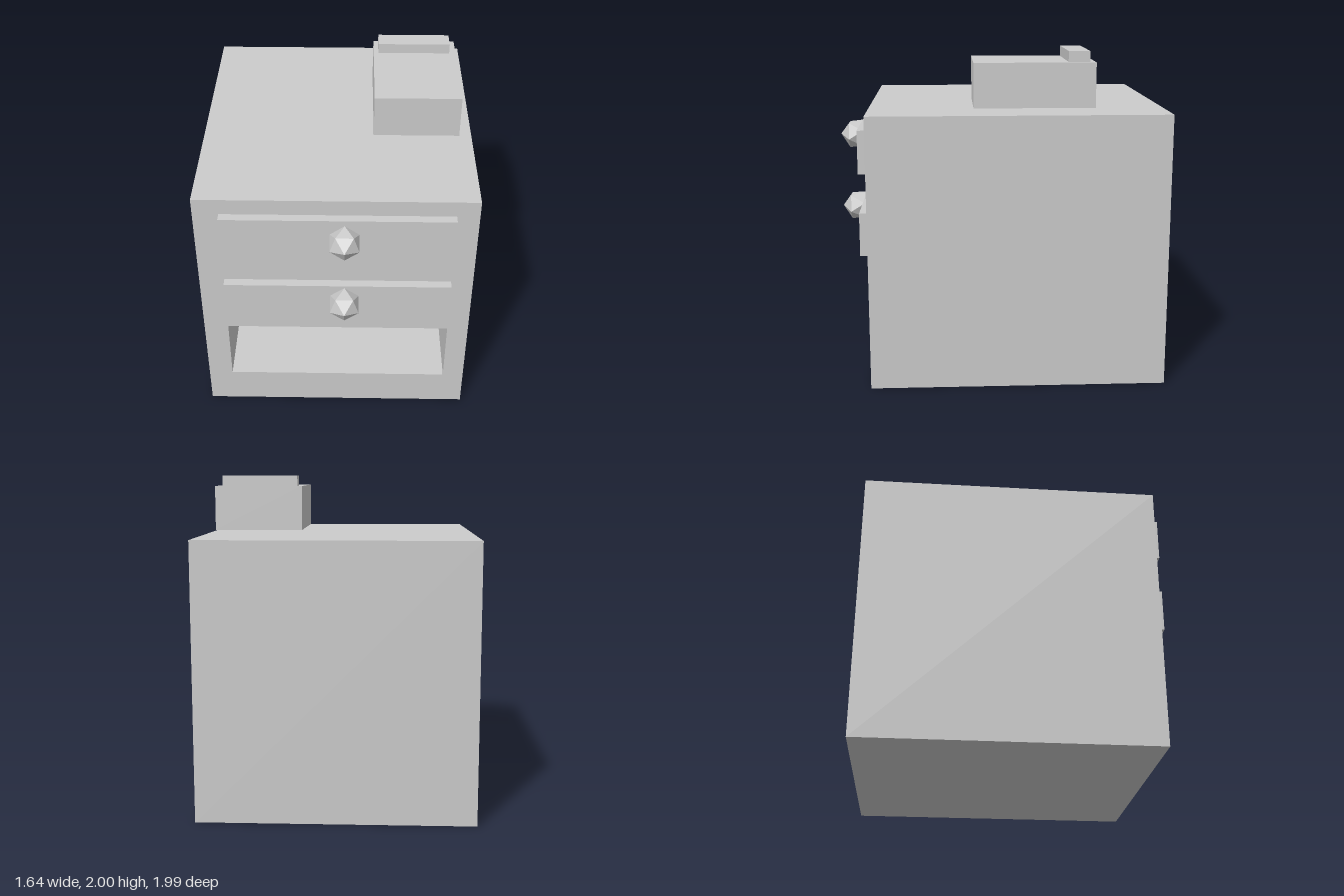
import * as THREE from 'three';

const material = new THREE.MeshStandardMaterial({ color: 0xcccccc, flatShading: true });

function addMesh(parent, name, geometry) {
  const mesh = new THREE.Mesh(geometry, material);
  mesh.name = name;
  parent.add(mesh);
  return mesh;
}

// Box geometry given by its extents
function block(x0, x1, y0, y1, z0, z1) {
  return new THREE.BoxGeometry(x1 - x0, y1 - y0, z1 - z0)
    .translate((x0 + x1) / 2, (y0 + y1) / 2, (z0 + z1) / 2);
}

// Box without its front face; inward turns the faces towards the inside
function openBlock(extents, inward = false) {
  const geometry = block(...extents);
  const index = Array.from(geometry.index.array);
  index.splice(24, 6);
  if (inward) index.reverse();
  geometry.setIndex(index);
  geometry.clearGroups();
  if (inward) geometry.computeVertexNormals();
  return geometry;
}

function rectangle(target, x0, x1, y0, y1) {
  target.moveTo(x0, y0);
  target.lineTo(x1, y0);
  target.lineTo(x1, y1);
  target.lineTo(x0, y1);
  target.closePath();
  return target;
}

export function createModel() {
  const model = new THREE.Group();
  model.name = 'nightstand';

  // Cabinet: outer shell, front panel with opening, recessed shelf
  const frontZ = 0.78;
  const outer = [-0.82, 0.82, 0, 1.645];
  const opening = [-0.672, 0.692, 0.238, 0.656];
  const cabinet = new THREE.Group();
  cabinet.name = 'cabinet';
  model.add(cabinet);
  addMesh(cabinet, 'cabinetShell', openBlock([...outer, -0.995, frontZ]));
  const panel = rectangle(new THREE.Shape(), ...outer);
  panel.holes.push(rectangle(new THREE.Path(), ...opening));
  addMesh(cabinet, 'frontPanel', new THREE.ShapeGeometry(panel).translate(0, 0, frontZ));
  addMesh(cabinet, 'openShelf', openBlock([...opening, frontZ - 0.49, frontZ], true));

  // Two drawers, each with a faceted knob pointing forwards
  const knobTilt = Math.atan(2 / (1 + Math.sqrt(5)));
  [['upper', 1.285, 1.43], ['lower', 0.79, 0.957]].forEach(([name, bottom, knobY]) => {
    const drawer = new THREE.Group();
    drawer.name = name + 'Drawer';
    model.add(drawer);
    addMesh(drawer, 'drawerFront', block(-0.668, 0.688, bottom, bottom + 0.26, frontZ, 0.834));
    const knob = addMesh(drawer, 'knob', new THREE.IcosahedronGeometry(0.1, 0).rotateX(knobTilt));
    knob.position.set(0.052, knobY, 0.89);
  });

  // Book hovering just above the top, with a plain raised title strip
  const book = new THREE.Group();
  book.name = 'book';
  model.add(book);
  addMesh(book, 'bookBody', block(0.22, 0.74, 1.677, 1.938, -0.552, 0.155));
  addMesh(book, 'titleStrip', block(0.25, 0.7, 1.938, 2, -0.52, -0.395));

  return model;
}
